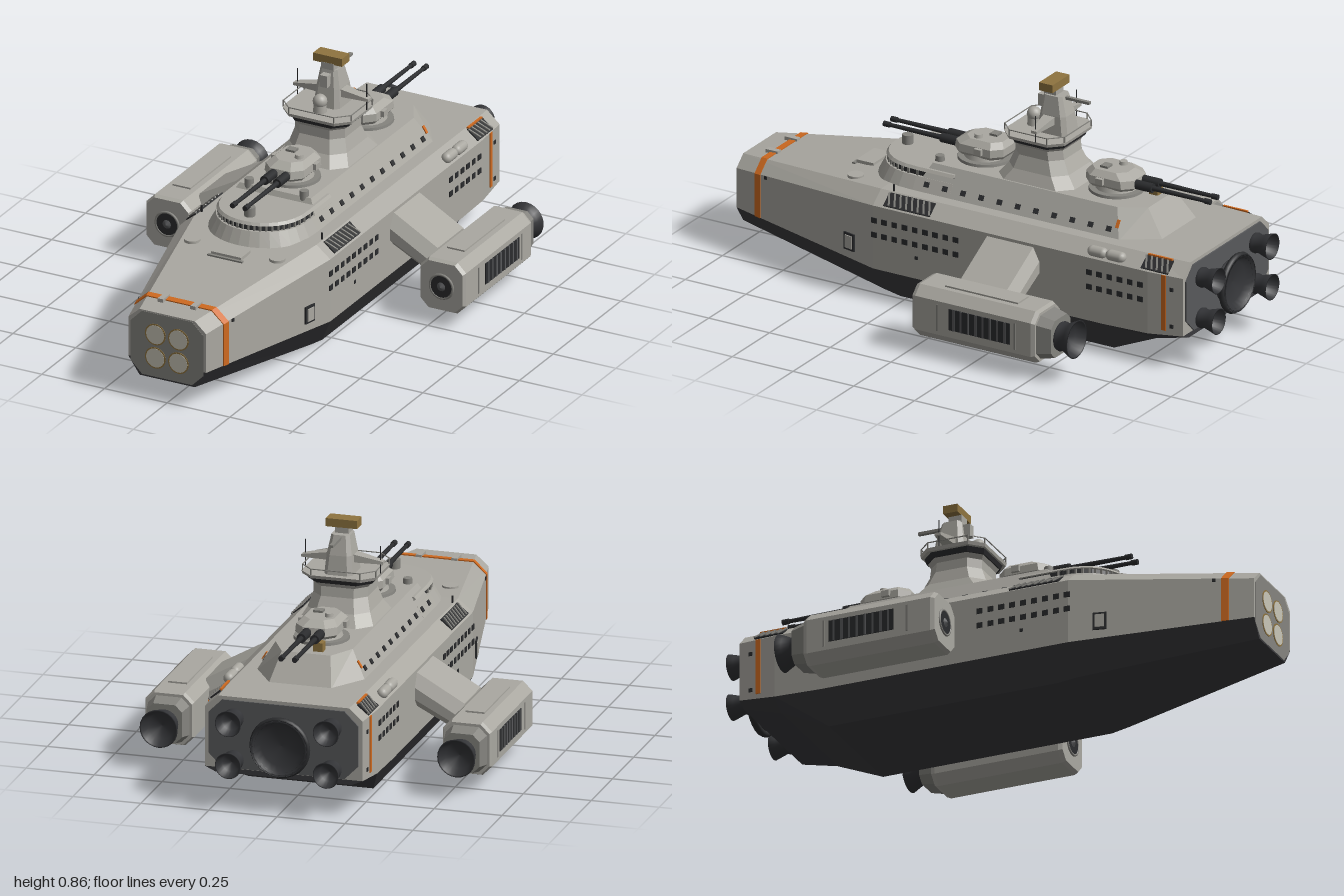
import * as THREE from 'three';

const mat = (name, color, extra = {}) => Object.assign(new THREE.MeshStandardMaterial({ color, ...extra }), { name });

export function createModel() {
  const root = new THREE.Group();
  root.name = 'armouredShip';
  const hullGrey = mat('hull grey', 0xaaa8a1), midGrey = mat('mid grey', 0x85847f), keelDark = mat('keel charcoal', 0x3a3a3d);
  const black = mat('gun metal', 0x2b2c2e), slate = mat('stern slate', 0x58595b), orange = mat('orange', 0xcf6a20);
  const tan = mat('tan', 0x8f7440), pale = mat('pale lens', 0xc9c6b8);
  const nozzleMat = mat('nozzle metal', 0x333437, { side: THREE.DoubleSide });

  const add = (name, geo, m, x = 0, y = 0, z = 0, parent = root) => {
    const mesh = new THREE.Mesh(geo, m);
    mesh.name = name;
    mesh.position.set(x, y, z);
    parent.add(mesh);
    return mesh;
  };
  const box = (name, m, w, h, d, x, y, z, parent) => add(name, new THREE.BoxGeometry(w, h, d), m, x, y, z, parent);
  const cyl = (name, m, r1, r2, h, x, y, z, parent, n = 20) => add(name, new THREE.CylinderGeometry(r1, r2, h, n), m, x, y, z, parent);
  const both = fn => [1, -1].forEach(fn);

  // Solid skinned over convex rings of equal point count, faceted and turned outwards
  function loft(rings) {
    const tris = [], n = rings[0].length;
    const mid = r => [0, 1, 2].map(k => r.reduce((s, p) => s + p[k], 0) / n);
    for (let i = 0; i < rings.length - 1; i++) for (let j = 0; j < n; j++) {
      const a = rings[i][j], b = rings[i][(j + 1) % n], c = rings[i + 1][(j + 1) % n], d = rings[i + 1][j];
      tris.push([a, b, c], [a, c, d]);
    }
    const first = rings[0], last = rings[rings.length - 1];
    for (let j = 0; j < n; j++) {
      const k = (j + 1) % n;
      tris.push([mid(first), first[k], first[j]], [mid(last), last[j], last[k]]);
    }
    const v = tris.map(t => t.map(p => new THREE.Vector3(...p)));
    const volume = v.reduce((s, [a, b, c]) => s + a.dot(b.clone().cross(c)), 0);
    const pos = v.flatMap(([a, b, c]) => (volume > 0 ? [a, b, c] : [a, c, b])).flatMap(p => p.toArray());
    const g = new THREE.BufferGeometry();
    g.setAttribute('position', new THREE.Float32BufferAttribute(pos, 3));
    g.computeVertexNormals();
    return g;
  }
  // Rectangle with cut corners
  const oct = (hx, hy, c) => [[hx, hy - c], [hx, c - hy], [hx - c, -hy], [c - hx, -hy], [-hx, c - hy], [-hx, hy - c], [c - hx, hy], [hx - c, hy]];
  const flatOct = (hx, z1, z2, c, y) => oct(hx, (z1 - z2) / 2, c).map(([x, z]) => [x, y, z + (z1 + z2) / 2]);

  // Hull stations: z, deck half width, deck y, beam, shoulder y, chine y, keel half width, keel y
  const stations = [
    [1, .11, .345, .155, .305, .155, .11, .09], [.35, .245, .405, .3, .36, .12, .225, .015],
    [.28, .245, .405, .3, .36, .12, .23, .005], [-.6, .245, .405, .3, .36, .12, .23, .005],
    [-.78, .245, .405, .3, .36, .125, .24, .085], [-.92, .24, .405, .29, .36, .14, .25, .122]];
  const section = z => {
    let i = 0;
    while (i < stations.length - 2 && z < stations[i + 1][0]) i++;
    const a = stations[i], b = stations[i + 1], t = (z - a[0]) / (b[0] - a[0]);
    return a.map((v, k) => v + (b[k] - v) * t);
  };
  const upper = ([z, a, yt, w, ys, yc], o = 0) =>
    [[a + o / 2, yt + o, z], [w + o, ys, z], [w + o, yc, z], [-w - o, yc, z], [-w - o, ys, z], [-a - o / 2, yt + o, z]];
  add('upperHull', loft(stations.map(s => upper(s))), hullGrey);
  add('lowerHull', loft(stations.map(([z, , , w, , yc, b, yb]) => [[w, yc, z], [b, yb, z], [-b, yb, z], [-w, yc, z]])), keelDark);
  add('bowStripe', loft([.912, .886].map(z => upper(section(z), .004))), orange);

  // Bow plate with four round lenses
  const bowRing = z => oct(.145, .122, .045).map(([x, y]) => [x, y + .218, z]);
  add('bowPlate', loft([bowRing(.99), bowRing(1.001)]), midGrey);
  both(sx => [.17, .26].forEach(y => {
    cyl('lensRim', tan, .041, .041, .006, sx * .046, y, 1, root, 24).rotation.x = Math.PI / 2;
    cyl('bowLens', pale, .036, .036, .008, sx * .046, y, 1, root, 24).rotation.x = Math.PI / 2;
  }));

  // Stern plate and engines
  add('sternPlate', loft([-.915, -.926].map(z => oct(.275, .125, .05).map(([x, y]) => [x, y + .268, z]))), slate);
  function nozzle(name, r, len, x, y, z, parent = root) {
    const pts = [[.72, 0], [.78, .2], [.68, .35], [.85, .7], [1, 1], [.92, 1], [.7, .5], [0, .4]];
    const g = new THREE.LatheGeometry(pts.map(([a, b]) => new THREE.Vector2(a * r, b * len)), 24);
    add(name, g, nozzleMat, x, y, z, parent).rotation.x = -Math.PI / 2;
  }
  nozzle('mainEngine', .105, .055, 0, .25, -.924);
  add('mainEngineRing', new THREE.TorusGeometry(.1, .012, 8, 28), black, 0, .25, -.965);
  both(sx => [.175, .33].forEach(y => nozzle('cornerEngine', .048, .078, sx * .18, y, -.922)));

  // Side fittings
  both(s => {
    const side = (name, m, h, d, y, z, t = .006) => {
      const p = box(name, m, t, h, d, s * section(z)[3], y, z);
      if (z > .35) p.rotation.y = s * -.22;
      return p;
    };
    for (let i = 0; i < 9; i++) [.305, .25].forEach(y => side('sideWindow', black, .02, .022, y, .345 - i * .042));
    for (let i = 0; i < 6; i++) [.305, .25].forEach(y => side('sideWindow', black, .02, .022, y, -.54 - i * .042));
    side('sternStripe', orange, .21, .018, .255, -.845);
    side('sideHatchFrame', black, .065, .05, .19, .46, .012);
    side('sideHatch', hullGrey, .048, .034, .19, .46, .02);
    [.86, .17].forEach(z => side('rivet', black, .012, .012, z > .5 ? .31 : .2, z));
    [.17, .31].forEach(y => side('rivet', black, .014, .014, y, -.875));
    // Louvres on the shoulder
    [[.215, .19], [-.805, .11]].forEach(([z, len]) => {
      const vent = new THREE.Group();
      vent.name = 'shoulderVent';
      vent.position.set(s * .2735, .3835, z);
      vent.rotation.z = s * -.685;
      root.add(vent);
      box('ventPlate', black, .056, .006, len, 0, 0, 0, vent);
      const n = Math.round(len / .024);
      for (let i = 0; i < n; i++) box('ventSlat', midGrey, .054, .01, .006, 0, .002, (i + .5) / n * len - len / 2, vent).rotation.y = s * .4;
    });
    box('ventMark', orange, .008, .006, .1, s * .252, .405, -.805);
    // Shoulder canisters
    [-.565, -.64].forEach(z => {
      const c = add('canister', new THREE.CapsuleGeometry(.02, .04, 6, 14), hullGrey, s * .282, .382, z);
      c.rotation.x = Math.PI / 2;
    });
    // Foredeck fittings
    cyl('deckHatch', hullGrey, .029, .029, .01, s * .17, .395, .5);
    box('bowCleat', hullGrey, .022, .014, .05, s * .065, .358, .905);
    box('deckPost', black, .006, .03, .006, s * .24, .415, .3);
    box('deckEdgeMark', orange, .03, .004, .012, s * .175, .453, -.582).rotation.z = s * -1.01;
  });
  box('foredeckPanel', midGrey, .14, .006, .012, 0, .389, .57);
  box('foredeckHatch', hullGrey, .12, .012, .07, 0, .395, .53);

  // Rounded gun deck at the front, with a dark gallery band
  function bow(r, zMid, reach, y) {
    const ring = [[r, y, .1]];
    for (let i = 0; i <= 16; i++) {
      const a = i / 16 * Math.PI;
      ring.push([r * Math.cos(a), y, zMid + reach * Math.sin(a) ** .8]);
    }
    return [...ring, [-r, y, .1]];
  }
  add('gunDeckBase', loft([bow(.2, .25, .225, .4), bow(.172, .25, .2, .45)]), hullGrey);
  add('gunDeckBand', loft([bow(.163, .25, .19, .448), bow(.16, .25, .187, .472)]), black);
  add('gunDeckTop', loft([bow(.17, .25, .198, .471), bow(.162, .25, .19, .481)]), hullGrey);
  for (let i = 0; i <= 24; i++) {
    const a = i / 24 * Math.PI;
    box('bandPost', midGrey, .007, .024, .007, .164 * Math.cos(a), .46, .25 + .191 * Math.sin(a) ** .8);
  }

  // Main superstructure
  const deck = (w, front, rear, tailW, tail, y) => [[w, y, front], [w, y, rear], [tailW, y, tail], [-tailW, y, tail], [-w, y, rear], [-w, y, front]];
  add('superstructure', loft([deck(.2, .25, -.6, .115, -.73, .4), deck(.142, .2, -.56, .09, -.655, .5)]), hullGrey);
  both(s => {
    for (let i = 0; i < 11; i++) {
      const p = box('deckWindow', black, .007, .019, .02, s * .183, .43, .2 - i * .075);
      p.rotation.z = s * .56;
    }
    cyl('ventPot', midGrey, .016, .018, .04, s * .11, .5, .19, root, 12);
  });
  cyl('deckPot', midGrey, .02, .02, .04, 0, .495, .39, root, 12);
  box('aftLocker', tan, .035, .035, .035, -.035, .515, -.61);

  // Twin gun turrets
  function turret(z, turn) {
    const g = new THREE.Group();
    g.name = 'turret';
    g.position.set(0, .5, z);
    g.rotation.y = turn;
    root.add(g);
    cyl('turretRing', midGrey, .098, .1, .012, 0, .004, 0, g, 28);
    cyl('turretBase', hullGrey, .07, .078, .025, 0, .016, 0, g, 24);
    add('turretBody', loft([flatOct(.065, .085, -.09, .03, .022), flatOct(.078, .1, -.1, .035, .036),
      flatOct(.076, .095, -.1, .035, .064), flatOct(.055, .06, -.085, .03, .084)]), hullGrey, 0, 0, 0, g);
    box('turretHatch', midGrey, .035, .01, .03, -.02, .087, -.03, g);
    cyl('turretCap', hullGrey, .014, .016, .014, .03, .09, .01, g, 12);
    both(s => {
      cyl('gunSleeve', black, .017, .017, .09, s * .025, .046, .12, g, 14).rotation.x = Math.PI / 2;
      cyl('gunBarrel', black, .007, .01, .29, s * .025, .046, .25, g, 12).rotation.x = Math.PI / 2;
      cyl('gunMuzzle', black, .01, .01, .025, s * .025, .046, .39, g, 12).rotation.x = Math.PI / 2;
      box('rangeFinder', hullGrey, .02, .022, .03, s * .08, .052, -.02, g);
    });
  }
  turret(.07, 0);
  turret(-.47, Math.PI);

  // Command tower
  add('tower', loft([flatOct(.142, -.03, -.36, .05, .49), flatOct(.115, -.07, -.315, .045, .54),
    flatOct(.1, -.09, -.29, .04, .59), flatOct(.1, -.09, -.285, .04, .625), flatOct(.115, -.08, -.295, .045, .642)]), hullGrey);
  add('towerWindows', loft([flatOct(.117, -.077, -.297, .045, .64), flatOct(.125, -.072, -.302, .045, .659)]), black);
  add('towerPlatform', loft([flatOct(.135, -.065, -.31, .045, .658), flatOct(.138, -.062, -.313, .045, .67)]), hullGrey);
  const railRing = flatOct(.135, -.065, -.31, .045, .69);
  railRing.forEach((p, i) => {
    const q = railRing[(i + 1) % 8], dx = q[0] - p[0], dz = q[2] - p[2];
    const rail = box('platformRail', midGrey, .003, .003, Math.hypot(dx, dz), (p[0] + q[0]) / 2, .692, (p[2] + q[2]) / 2);
    rail.rotation.y = Math.atan2(dx, dz);
    box('railPost', midGrey, .004, .025, .004, p[0], .681, p[2]);
  });
  add('mast', loft([flatOct(.052, -.165, -.29, .015, .668), flatOct(.046, -.175, -.28, .015, .74), flatOct(.034, -.185, -.26, .012, .81)]), hullGrey);
  box('mastHead', hullGrey, .05, .03, .05, 0, .82, -.21);
  box('radarBlock', tan, .115, .03, .055, 0, .847, -.213);
  box('mastArm', midGrey, .014, .01, .14, 0, .8, -.29);
  box('mastBox', hullGrey, .03, .045, .03, 0, .775, -.17);
  cyl('domeFoot', hullGrey, .022, .025, .035, 0, .685, -.13, root, 16);
  add('dome', new THREE.SphereGeometry(.026, 18, 12), hullGrey, 0, .71, -.13);
  both(s => {
    add('yardArm', loft([[.03, .016, .025], [.15, .005, .012]].map(([x, h, d]) =>
      [[1, 1], [1, -1], [-1, -1], [-1, 1]].map(([a, b]) => [s * x, (x < .1 ? .725 : .712) + a * h, -.22 + b * d]))), hullGrey);
    box('aerial', black, .003, .1, .003, s * .138, .72, -.22);
  });

  // Outrigger engines on pylons
  both(s => {
    const pylonRing = (x, top, bottom) => [[top, -.12], [top - .05, -.09], [bottom + .03, -.09], [bottom, -.12],
      [bottom, -.31], [bottom + .03, -.335], [top - .05, -.335], [top, -.31]].map(([y, z]) => [s * x, y, z]);
    add('pylon', loft([pylonRing(.28, .36, .235), pylonRing(.475, .25, .135)]), hullGrey);
    const pod = new THREE.Group();
    pod.name = 'enginePod';
    pod.position.set(s * .547, .16, 0);
    root.add(pod);
    const podRing = ([z, k]) => oct(.09 * k, .098 * k, .034 * k).map(([x, y]) => [x, y, z]);
    add('podBody', loft([[-.015, .93], [-.03, 1], [-.505, 1], [-.52, .94]].map(podRing)), hullGrey, 0, 0, 0, pod);
    add('podTail', loft([[-.515, .85], [-.575, .72]].map(podRing)), midGrey, 0, 0, 0, pod);
    nozzle('podNozzle', .07, .07, 0, 0, -.57, pod);
    cyl('intakeDisc', black, .043, .043, .006, 0, 0, -.014, pod, 24).rotation.x = Math.PI / 2;
    add('intakeRim', new THREE.TorusGeometry(.045, .005, 8, 28), midGrey, 0, 0, -.014, pod);
    add('intakeCone', new THREE.ConeGeometry(.022, .012, 20), slate, 0, 0, -.008, pod).rotation.x = Math.PI / 2;
    box('podVent', black, .006, .08, .25, s * .09, .005, -.295, pod);
    for (let i = 0; i < 8; i++) box('podVentSlat', slate, .008, .08, .008, s * .091, .005, -.19 - i * .03, pod);
    [-.12, -.44].forEach(z => box('podBand', midGrey, .008, .1, .006, s * .088, 0, z, pod));
    box('podTopPanel', hullGrey, .07, .008, .3, 0, .1, -.27, pod);
  });
  return root;
}
